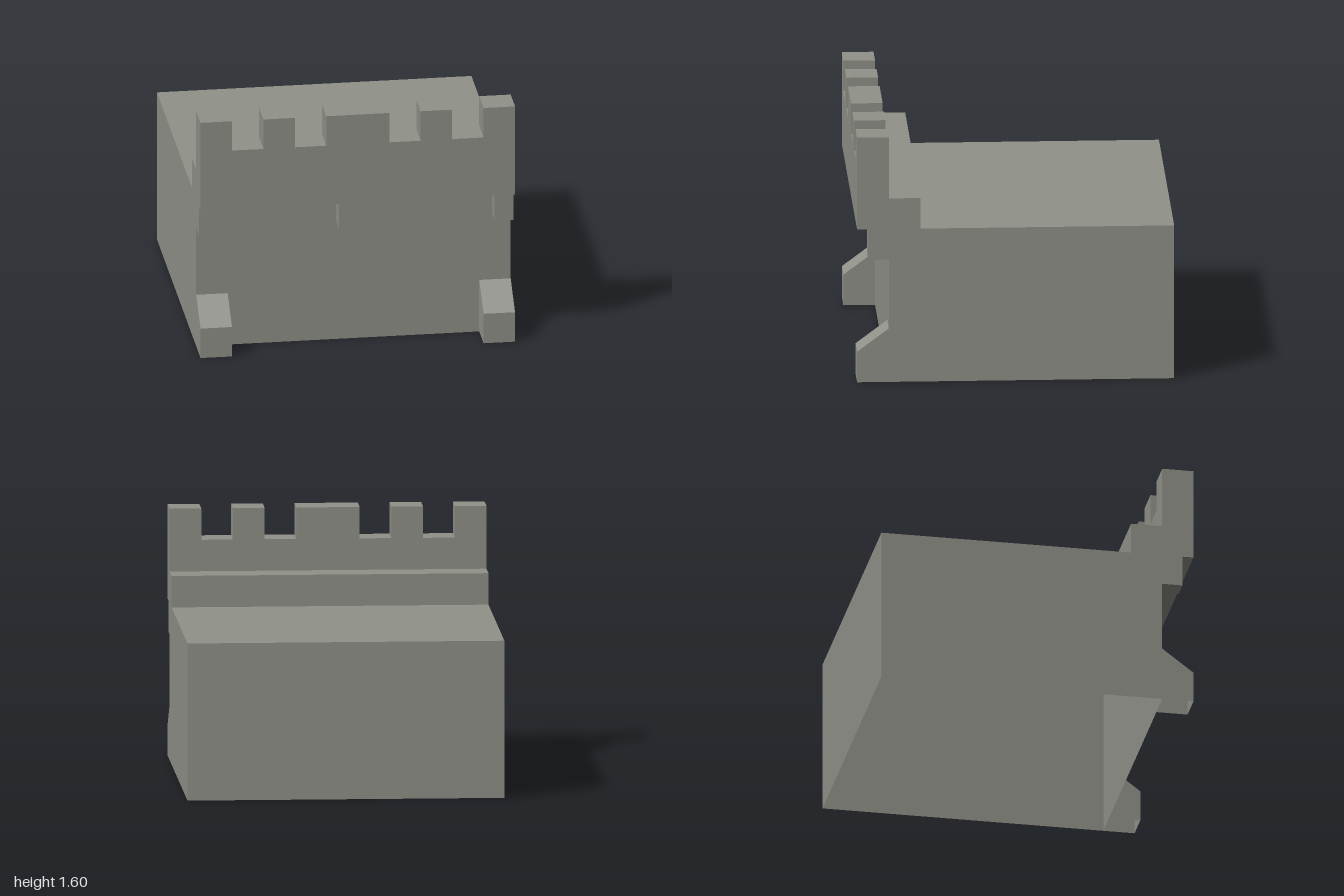
import * as THREE from 'three';

// Box from min/max corners, leaving out listed sides (0 +x, 1 -x, 2 top, 3 bottom, 4 front, 5 back)
function openBox(x0, x1, y0, y1, z0, z1, omit = []) {
  const geo = new THREE.BoxGeometry(x1 - x0, y1 - y0, z1 - z0);
  geo.translate((x0 + x1) / 2, (y0 + y1) / 2, (z0 + z1) / 2);
  const index = Array.from(geo.index.array).filter((_, i) => !omit.includes(Math.floor(i / 6)));
  geo.setIndex(index);
  geo.clearGroups();
  return geo;
}

export function createModel() {
  const group = new THREE.Group();
  const stone = new THREE.MeshStandardMaterial({ color: 0x909189, side: THREE.DoubleSide });
  stone.name = 'grey stone';

  const add = (name, geo) => {
    const mesh = new THREE.Mesh(geo, stone);
    mesh.name = name;
    group.add(mesh);
  };

  // Hollow main block, open underneath
  add('body', openBox(-1, 1, 0, 1, -1, 0.8, [3]));

  // Walkway step behind the parapet
  add('walkway', openBox(-1, 1, 1, 1.2, 0.6, 0.8, [3, 4]));

  // Parapet with four notches between the merlons
  const outline = new THREE.Shape();
  outline.moveTo(-1, 1);
  outline.lineTo(1, 1);
  outline.lineTo(1, 1.6);
  for (const x of [0.8, 0.4, -0.2, -0.6]) {
    outline.lineTo(x, 1.6);
    outline.lineTo(x, 1.4);
    outline.lineTo(x - 0.2, 1.4);
    outline.lineTo(x - 0.2, 1.6);
  }
  outline.lineTo(-1, 1.6);
  outline.closePath();
  const parapet = new THREE.ExtrudeGeometry(outline, { depth: 0.2, bevelEnabled: false });
  parapet.translate(0, 0, 0.8);
  add('parapet', parapet);

  // Brackets under the parapet
  for (const [name, x0, x1] of [['rightBracket', -1, -0.88], ['middleBracket', -0.11, 0.1], ['leftBracket', 0.88, 1]]) {
    add(name, openBox(x0, x1, 0.8, 1, 0.8, 0.93, [2, 5]));
  }

  // Sloped buttress feet at the front corners, open underneath
  for (const [name, x0, x1] of [['rightButtress', -1, -0.8], ['leftButtress', 0.8, 1]]) {
    const geo = openBox(x0, x1, 0, 0.35, 0.8, 1, [3, 5]);
    const p = geo.attributes.position;
    for (let i = 0; i < p.count; i++) {
      if (p.getZ(i) > 0.9 && p.getY(i) > 0.1) p.setY(i, 0.2);
    }
    geo.computeVertexNormals();
    add(name, geo);
  }

  return group;
}
